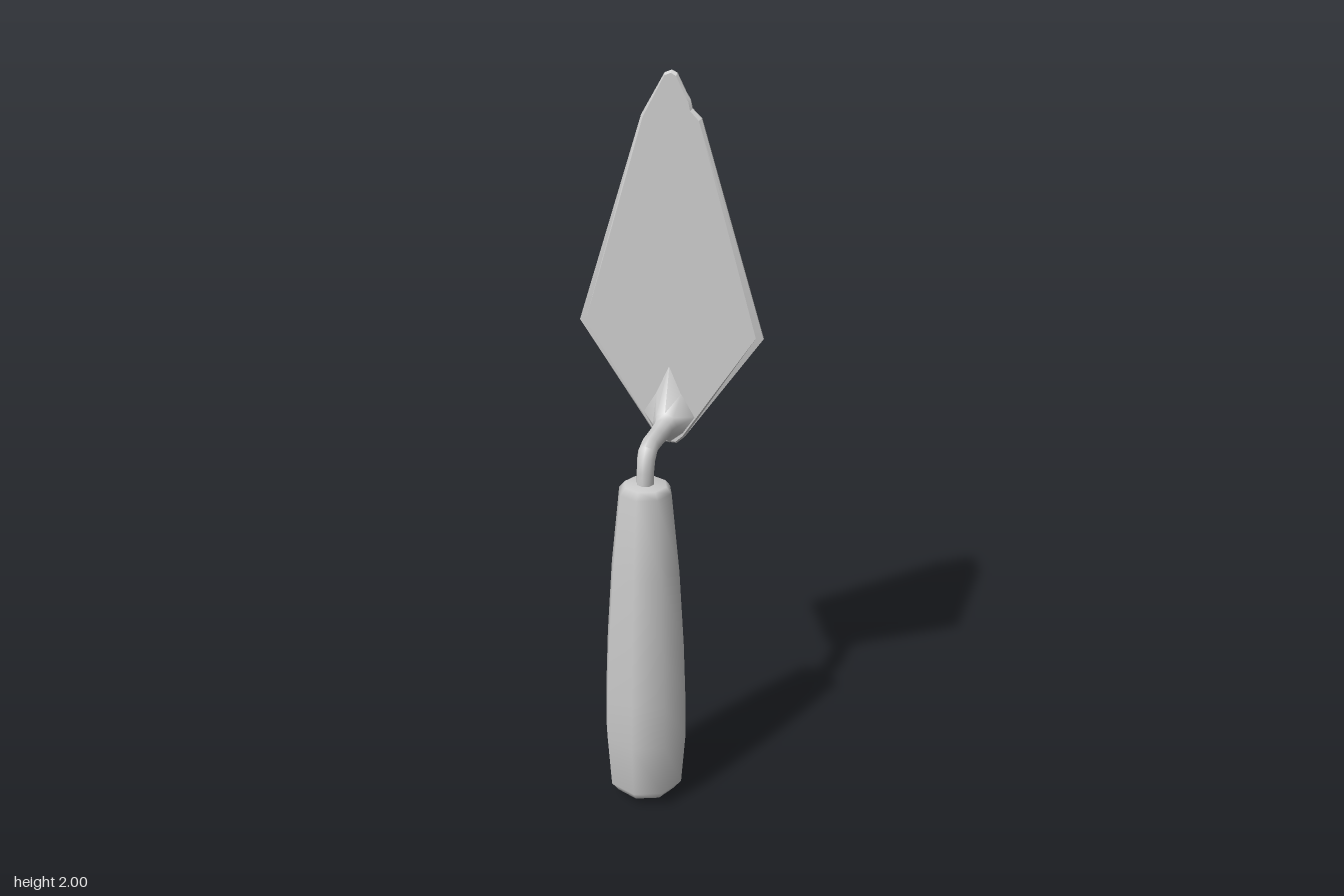
import * as THREE from 'three';
import { toCreasedNormals } from 'three/addons/utils/BufferGeometryUtils.js';

// Skin a list of equal-length closed rings and cap both ends.
function loft(rings) {
  const n = rings[0].length;
  const pos = rings.flat(2);
  const index = [];
  for (let i = 0; i < rings.length - 1; i++) {
    for (let j = 0; j < n; j++) {
      const a = i * n + j, b = i * n + (j + 1) % n;
      index.push(a, a + n, b, b, a + n, b + n);
    }
  }
  [0, rings.length - 1].forEach((r) => {
    const c = pos.length / 3;
    for (let k = 0; k < 3; k++) pos.push(rings[r].reduce((s, p) => s + p[k], 0) / n);
    for (let j = 0; j < n; j++) {
      const a = r * n + j, b = r * n + (j + 1) % n;
      if (r === 0) index.push(c, a, b);
      else index.push(c, b, a);
    }
  });
  const geo = new THREE.BufferGeometry();
  geo.setAttribute('position', new THREE.Float32BufferAttribute(pos, 3));
  geo.setIndex(index);
  geo.computeVertexNormals();
  return geo;
}

export function createModel() {
  const group = new THREE.Group();
  const material = new THREE.MeshStandardMaterial({ color: 0xcccccc });
  const add = (name, geo) => {
    const mesh = new THREE.Mesh(geo, material);
    mesh.name = name;
    group.add(mesh);
    return mesh;
  };

  // Eight-sided handle, swelling towards the butt
  const profile = [
    [0, 0.005], [0.05, 0.013], [0.085, 0.024], [0.106, 0.052], [0.118, 0.21], [0.116, 0.34],
    [0.11, 0.5], [0.096, 0.72], [0.073, 0.945], [0.058, 0.963], [0, 0.966],
  ].map(([r, y]) => new THREE.Vector2(r, y));
  add('handle', new THREE.LatheGeometry(profile, 8)).position.z = 0.045;

  // Cranked tang: round rod [y, z, tilt, radius], bending from up to back
  const rod = [
    [0.95, 0.045, 0, 0.024], [1.0, 0.044, 0, 0.024], [1.03, 0.038, 25, 0.025],
    [1.048, 0.026, 50, 0.026], [1.058, 0.006, 78, 0.025], [1.06, -0.04, 90, 0.025],
    [1.062, -0.1, 90, 0.027], [1.066, -0.118, 90, 0.034],
  ];
  const rings = rod.map(([y, z, tilt, r]) => {
    const t = THREE.MathUtils.degToRad(tilt);
    return Array.from({ length: 8 }, (_, j) => {
      const a = (j * Math.PI) / 4, u = r * Math.sin(a);
      return [r * Math.cos(a), y + u * Math.sin(t), z + u * Math.cos(t)];
    });
  });
  // Flare of the tang into a kite-shaped foot on the blade
  rings.push([
    [0.075, 1.085], [0.036, 1.15], [0, 1.23], [-0.036, 1.15],
    [-0.075, 1.085], [-0.042, 1.035], [0, 1.0], [0.042, 1.035],
  ].map(([x, y]) => [x, y, -0.156]));
  add('tang', toCreasedNormals(loft(rings), 0.9));

  // Thin blade with a chipped tip and bevelled front edge
  const outline = [
    [0.02, 1.0], [0.042, 1.02], [0.255, 1.325], [0.08, 1.885], [0.055, 1.908], [0.05, 1.93],
    [0.04, 1.945], [0.015, 1.993], [0, 2.0], [-0.018, 1.993], [-0.08, 1.885],
    [-0.255, 1.325], [-0.042, 1.02], [-0.02, 1.0],
  ];
  const front = outline.map(([x, y]) => [x * 0.925, 1.45 + (y - 1.45) * 0.988, -0.153]);
  const mid = outline.map(([x, y]) => [x, y, -0.159]);
  const back = outline.map(([x, y]) => [x, y, -0.163]);
  add('blade', toCreasedNormals(loft([front, mid, back]), 0.3));

  return group;
}
